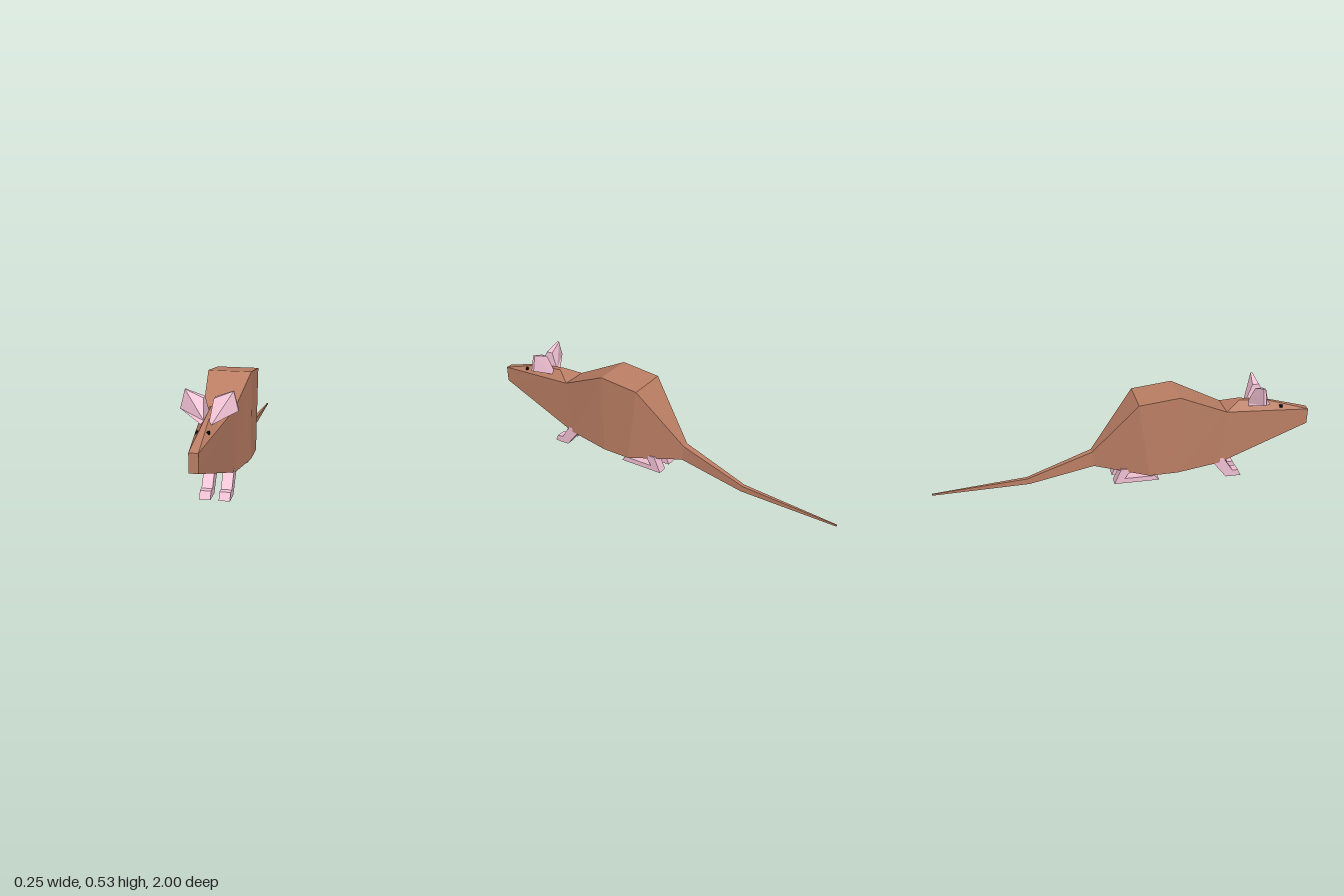
import * as THREE from 'three';

const fur = new THREE.MeshStandardMaterial({ color: 0xbb7e64, flatShading: true });
const skin = new THREE.MeshStandardMaterial({ color: 0xf0c0d2, flatShading: true });
const black = new THREE.MeshStandardMaterial({ color: 0x080808, flatShading: true });

// Skin over closed rings, listed front to back, each counterclockwise seen from the front
function loft(rings) {
  const pos = [];
  const tri = (a, b, c) => pos.push(...a, ...b, ...c);
  const n = rings[0].length;
  for (let i = 0; i < rings.length - 1; i++) {
    for (let j = 0; j < n; j++) {
      const k = (j + 1) % n;
      const a = rings[i][j], b = rings[i][k], c = rings[i + 1][k], d = rings[i + 1][j];
      tri(a, d, c);
      tri(a, c, b);
    }
  }
  const first = rings[0], last = rings[rings.length - 1];
  for (let j = 1; j < n - 1; j++) {
    tri(first[0], first[j], first[j + 1]);
    tri(last[0], last[j + 1], last[j]);
  }
  const geo = new THREE.BufferGeometry();
  geo.setAttribute('position', new THREE.Float32BufferAttribute(pos, 3));
  geo.computeVertexNormals();
  return geo;
}

// Four-cornered section: top half-width, height and z, then bottom half-width, height and z
const section = (tw, ty, tz, bw, by, bz) =>
  [[tw, ty, tz], [-tw, ty, tz], [-bw, by, bz], [bw, by, bz]];

// Leg profile in (z, y), extruded across x between 0.02 and 0.07
function legGeometry(points) {
  const shape = new THREE.Shape(points.map(([z, y]) => new THREE.Vector2(z, y)));
  const geo = new THREE.ExtrudeGeometry(shape, { depth: 0.051, bevelEnabled: false });
  return geo.rotateY(-Math.PI / 2).translate(0.0255, 0, 0);
}

export function createModel() {
  const group = new THREE.Group();
  const add = (name, geo, mat, x = 0, y = 0, z = 0) => {
    const mesh = new THREE.Mesh(geo, mat);
    mesh.name = name;
    mesh.position.set(x, y, z);
    group.add(mesh);
    return mesh;
  };

  // Body from snout to hump to rump
  const rump = section(0.018, 0.2, -0.17, 0.018, 0.117, -0.16);
  add('body', loft([
    section(0.02, 0.345, 1, 0.02, 0.261, 1),
    section(0.07, 0.395, 0.53, 0.07, 0.095, 0.51),
    section(0.104, 0.515, 0.27, 0.104, 0.08, 0.27),
    section(0.104, 0.49, 0.06, 0.104, 0.078, 0.12),
    rump,
  ]), fur);

  // Tail tapering to a point
  add('tail', loft([
    rump,
    section(0.01, 0.072, -0.51, 0.01, 0.04, -0.5),
    section(0.003, 0.031, -1, 0.003, 0.023, -1),
  ]), fur);

  // Raised forehead along the top of the head
  add('forehead', loft([
    section(0.02, 0.345, 1, 0.02, 0.345, 1),
    section(0.009, 0.413, 0.77, 0.0445, 0.3695, 0.77),
    section(0.015, 0.43, 0.61, 0.0615, 0.3865, 0.61),
    section(0.07, 0.395, 0.53, 0.07, 0.395, 0.53),
  ]), fur);

  // Ear outline: x, y, front z, back z
  const earOutline = [
    [0.022, 0.395, 0.78, 0.645],
    [0.125, 0.443, 0.718, 0.704],
    [0.104, 0.527, 0.714, 0.704],
    [0.022, 0.495, 0.725, 0.69],
    [0.012, 0.41, 0.77, 0.655],
  ];
  const frontLeg = legGeometry([
    [0.55, 0.002], [0.634, 0.002], [0.616, 0.038], [0.585, 0.038], [0.53, 0.12], [0.455, 0.12],
  ]);
  const hindLeg = legGeometry([
    [-0.06, 0.026], [0.18, 0.026], [0.155, 0.054], [-0.005, 0.054], [0.035, 0.11], [-0.025, 0.11],
  ]);

  for (const [side, s] of [['left', 1], ['right', -1]]) {
    const front = earOutline.map(([x, y, f]) => [s * x, y, f]);
    const back = earOutline.map(([x, y, , b]) => [s * x, y, b]);
    if (s < 0) { front.reverse(); back.reverse(); }
    add(side + 'Ear', loft([front, back]), skin);
    add(side + 'Eye', new THREE.BoxGeometry(0.01, 0.013, 0.016), black, s * 0.0235, 0.379, 0.84);
    add(side + 'FrontLeg', frontLeg, skin, s * 0.0445);
    add(side + 'HindLeg', hindLeg, skin, s * 0.046);
  }
  return group;
}
